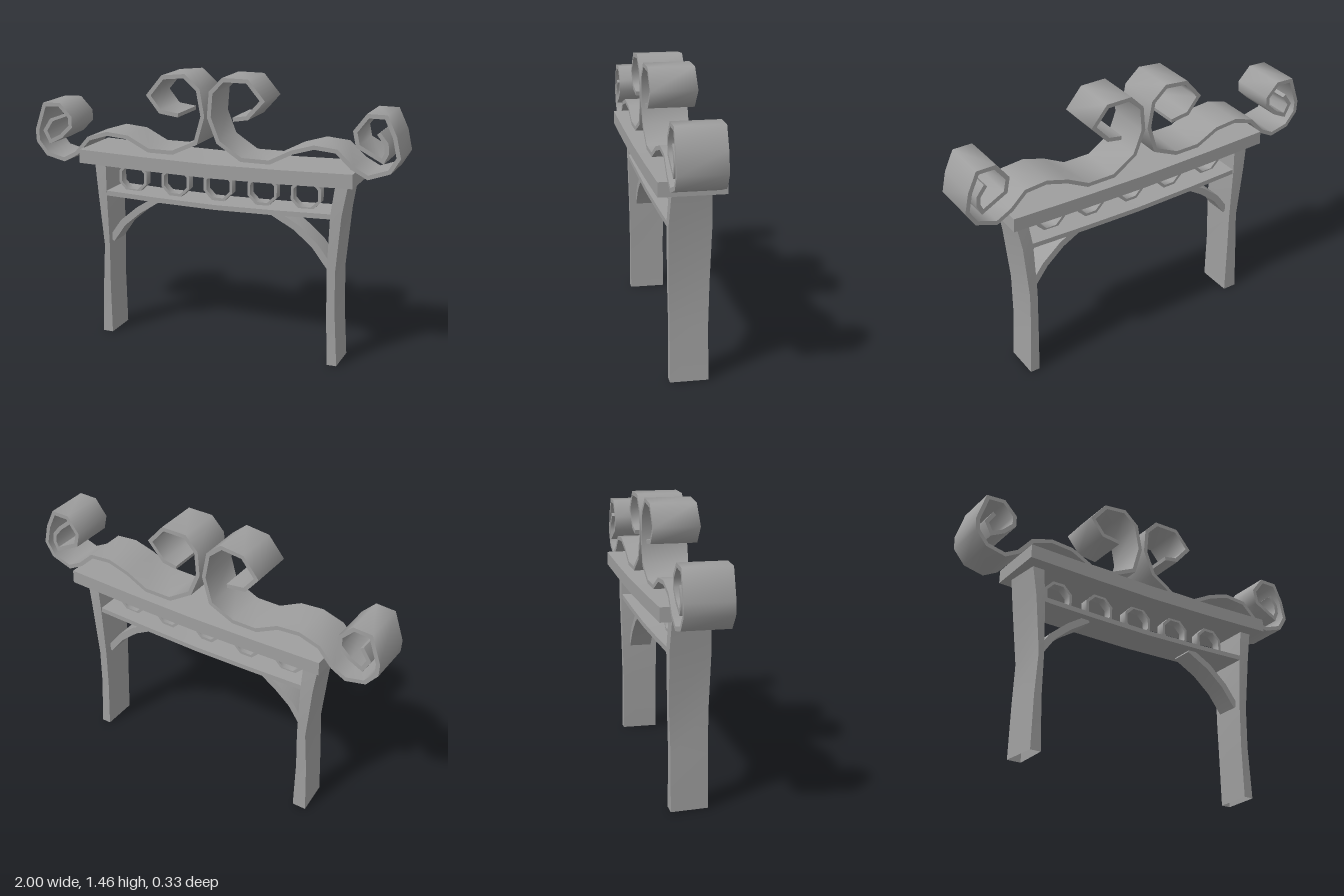
import * as THREE from 'three';
import { toCreasedNormals } from 'three/addons/utils/BufferGeometryUtils.js';

const material = new THREE.MeshStandardMaterial({ color: 0x9e9e9e, side: THREE.DoubleSide });

function addMesh(group, name, geometry) {
  const mesh = new THREE.Mesh(geometry, material);
  mesh.name = name;
  group.add(mesh);
  return mesh;
}

// Flat bar that follows a path in the xy plane, with mitred corners
function ribbon(points, thickness, depth) {
  const p = points.map(([x, y]) => new THREE.Vector2(x, y));
  const left = [], right = [];
  p.forEach((point, i) => {
    const before = p[Math.max(i - 1, 0)], after = p[Math.min(i + 1, p.length - 1)];
    const d1 = point.clone().sub(before).normalize();
    const d2 = after.clone().sub(point).normalize();
    const t = d1.clone().add(d2).normalize();
    const n = new THREE.Vector2(-t.y, t.x);
    const end = i === 0 || i === p.length - 1;
    const mitre = end ? 1 : 1 / Math.max(0.6, t.dot(d2));
    n.multiplyScalar(thickness / 2 * mitre);
    left.push(point.clone().add(n));
    right.unshift(point.clone().sub(n));
  });
  const geometry = new THREE.ExtrudeGeometry(new THREE.Shape([...left, ...right]),
    { depth, bevelEnabled: false });
  geometry.translate(0, 0, -depth / 2);
  return toCreasedNormals(geometry, 1.5);
}

// Hollow four-sided leg; each level is [y, outer x, inner x, half depth]
function leg(levels, side) {
  const rings = levels.map(([y, outer, inner, h]) => {
    const front = side < 0 ? outer + 0.018 : outer;
    const ring = [[front, y, h], [inner, y, h], [inner, y, -h], [outer, y, -h]];
    return side < 0 ? ring : [ring[1], ring[0], ring[3], ring[2]];
  });
  const positions = [];
  for (let i = 0; i < rings.length - 1; i++) {
    for (let j = 0; j < 4; j++) {
      const k = (j + 1) % 4;
      const a = rings[i][j], b = rings[i][k], c = rings[i + 1][k], d = rings[i + 1][j];
      positions.push(...a, ...b, ...c, ...a, ...c, ...d);
    }
  }
  const geometry = new THREE.BufferGeometry();
  geometry.setAttribute('position', new THREE.Float32BufferAttribute(positions, 3));
  geometry.translate(0, 0, -0.003);
  return toCreasedNormals(geometry, 0.5);
}

export function createModel() {
  const model = new THREE.Group();
  model.name = 'gateway';

  // Legs
  addMesh(model, 'rightLeg', leg([
    [0, -0.652, -0.577, 0.095], [0.28, -0.642, -0.583, 0.094], [0.5, -0.628, -0.58, 0.099],
    [0.8, -0.656, -0.588, 0.104], [0.97, -0.677, -0.595, 0.095],
  ], -1));
  addMesh(model, 'leftLeg', leg([
    [0, 0.704, 0.652, 0.095], [0.28, 0.687, 0.643, 0.094], [0.5, 0.684, 0.64, 0.099],
    [0.8, 0.71, 0.652, 0.104], [0.97, 0.739, 0.674, 0.095],
  ], 1));

  // Sagging top beam and lower rail
  addMesh(model, 'topBeam', ribbon([[-0.71, 0.998], [-0.35, 0.988], [0.03, 0.982],
    [0.4, 0.987], [0.778, 0.998]], 0.072, 0.33));
  addMesh(model, 'lowerRail', ribbon([[-0.6, 0.793], [-0.3, 0.783], [0.03, 0.777],
    [0.35, 0.783], [0.66, 0.793]], 0.026, 0.2));

  // Curved corner brackets
  addMesh(model, 'rightBracket', ribbon([[-0.585, 0.525], [-0.515, 0.625], [-0.42, 0.705],
    [-0.31, 0.775]], 0.036, 0.12));
  addMesh(model, 'leftBracket', ribbon([[0.645, 0.515], [0.565, 0.62], [0.465, 0.705],
    [0.335, 0.775]], 0.036, 0.12));

  // Row of narrow octagonal rings
  const octagon = (r) => Array.from({ length: 8 }, (_, i) => {
    const a = (i + 0.5) * Math.PI / 4;
    return new THREE.Vector2(r * Math.cos(a), r * Math.sin(a));
  });
  const ringShape = new THREE.Shape(octagon(0.086));
  ringShape.holes.push(new THREE.Path(octagon(0.07)));
  const ringGeometry = new THREE.ExtrudeGeometry(ringShape, { depth: 0.05, bevelEnabled: false });
  ringGeometry.translate(0, 0, -0.025);
  const ringSmooth = toCreasedNormals(ringGeometry, 0.9);
  [-0.468, -0.22, 0.022, 0.266, 0.5].forEach((x, i) => {
    addMesh(model, 'ring' + (i + 1), ringSmooth).position.set(x, 0.873, 0);
  });

  // Scrolled ribbons along the top
  addMesh(model, 'rightScroll', ribbon([
    [-0.9, 1.17], [-0.94, 1.11], [-0.91, 1.052], [-0.845, 1.085], [-0.788, 1.14],
    [-0.787, 1.19], [-0.85, 1.255], [-0.94, 1.25], [-0.988, 1.11], [-0.985, 1.05],
    [-0.93, 0.983], [-0.83, 0.96], [-0.755, 1.0], [-0.68, 1.085], [-0.57, 1.12],
    [-0.45, 1.11], [-0.33, 1.05], [-0.195, 1.05], [-0.065, 1.11], [-0.025, 1.25],
    [-0.05, 1.385], [-0.125, 1.45], [-0.245, 1.437], [-0.325, 1.34], [-0.26, 1.26],
    [-0.16, 1.247],
  ], 0.021, 0.236));
  addMesh(model, 'leftScroll', ribbon([
    [0.14, 1.247], [0.215, 1.26], [0.295, 1.35], [0.215, 1.443], [0.085, 1.443],
    [0.02, 1.375], [0.01, 1.25], [0.06, 1.125], [0.185, 1.045], [0.335, 1.045],
    [0.45, 1.105], [0.565, 1.14], [0.68, 1.13], [0.76, 1.055], [0.84, 1.013],
    [0.945, 1.05], [0.987, 1.12], [0.965, 1.22], [0.92, 1.315], [0.83, 1.315],
    [0.77, 1.235], [0.785, 1.165], [0.91, 1.1], [0.928, 1.14], [0.925, 1.185], [0.885, 1.235],
  ], 0.021, 0.236));

  return model;
}
